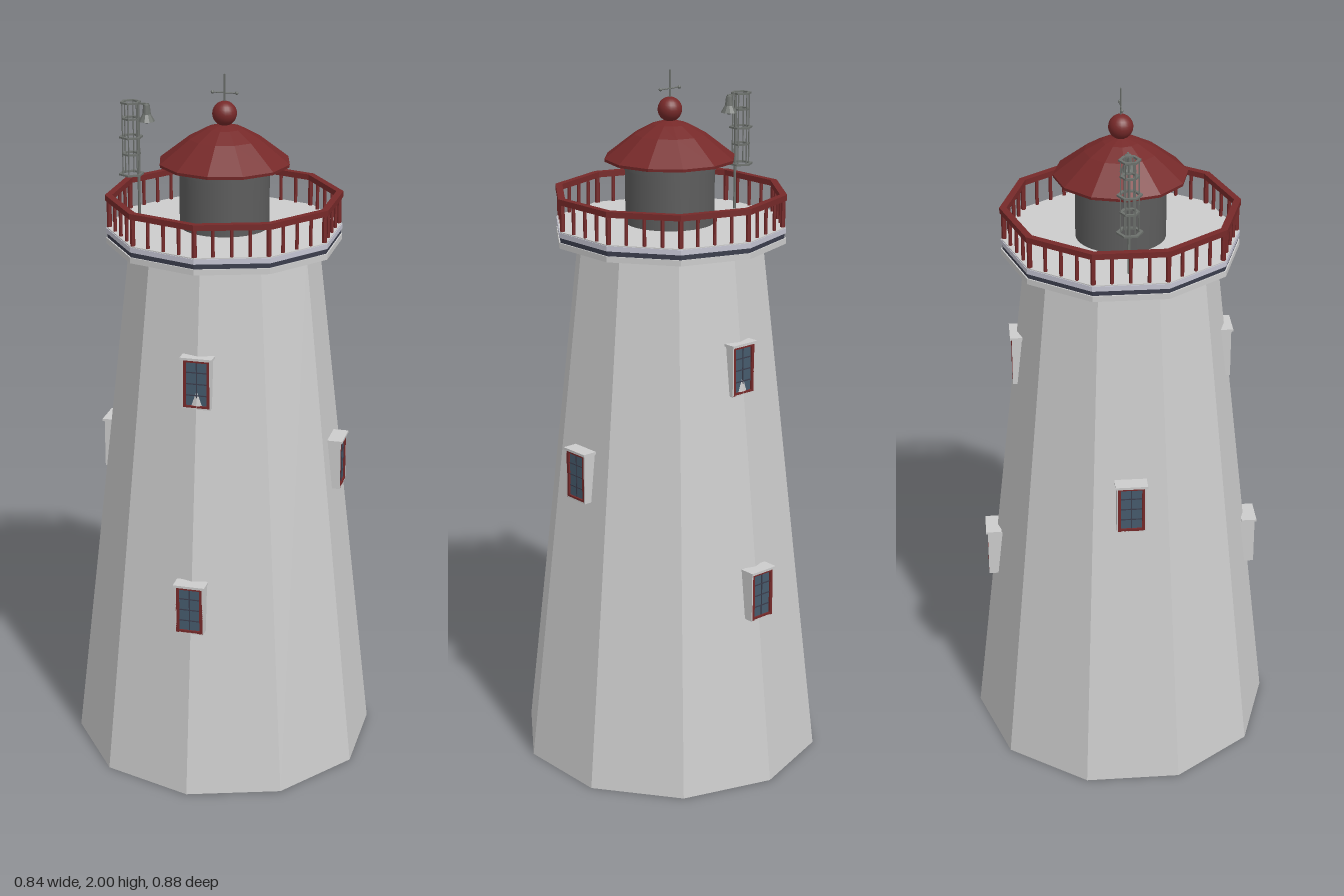
import * as THREE from 'three';

const mat = (color, flatShading = true) =>
  new THREE.MeshStandardMaterial({ color, flatShading, side: THREE.DoubleSide });
const grey = mat(0xcccccc), red = mat(0x762929), smoothRed = mat(0x762929, false);
const navy = mat(0x3a3d4c), pale = mat(0xc4c4d2), glass = mat(0x455a6c);
const lanternGrey = mat(0x5c5c5c, false), metal = mat(0x6c706c);
const SIDES = 10;

function add(parent, name, geometry, material, x = 0, y = 0, z = 0) {
  const mesh = new THREE.Mesh(geometry, material);
  mesh.name = name;
  mesh.position.set(x, y, z);
  parent.add(mesh);
  return mesh;
}

// upright cylinder or prism between two heights
function prism(parent, name, material, rTop, rBottom, y0, y1, sides, x = 0, z = 0) {
  return add(parent, name, new THREE.CylinderGeometry(rTop, rBottom, y1 - y0, sides),
    material, x, (y0 + y1) / 2, z);
}

// regular polygon corners with one corner on +z
function corners(r, n) {
  return Array.from({ length: n }, (_, i) => {
    const a = i / n * Math.PI * 2;
    return new THREE.Vector2(r * Math.sin(a), r * Math.cos(a));
  });
}

// flat polygonal ring
function ring(parent, name, material, rOut, rIn, y0, y1, n, x = 0) {
  const shape = new THREE.Shape(corners(rOut, n));
  shape.holes.push(new THREE.Path(corners(rIn, n)));
  const g = new THREE.ExtrudeGeometry(shape, { depth: y1 - y0, bevelEnabled: false });
  g.rotateX(-Math.PI / 2);
  return add(parent, name, g, material, x, y0, 0);
}

// hooded window, front face at local z = 0
function makeWindow() {
  const w = new THREE.Group();
  w.name = 'window';
  const depth = 0.045, h = 0.14;
  const box = (name, m, sx, sy, sz, x, y, z) =>
    add(w, name, new THREE.BoxGeometry(sx, sy, sz), m, x, y, z);
  box('windowHood', grey, 0.09, 0.007, depth, 0, h / 2 + 0.003, -depth / 2 + 0.002);
  box('windowSill', grey, 0.08, 0.004, depth, 0, -h / 2, -depth / 2 - 0.003);
  box('windowPane', glass, 0.07, h - 0.01, 0.004, 0, 0, -0.01);
  for (const s of [-1, 1]) {
    box('windowCheek', grey, 0.004, h, depth, s * 0.039, 0, -depth / 2 - 0.003);
    box('windowJamb', red, 0.009, h, 0.01, s * 0.034, 0, -0.008);
    box('windowRail', red, 0.06, 0.007, 0.01, 0, s * (h / 2 - 0.004), -0.008);
  }
  box('mullion', navy, 0.003, h - 0.01, 0.004, 0, 0, -0.008);
  for (const y of [-0.033, 0, 0.033]) box('glazingBar', navy, 0.06, 0.003, 0.004, 0, y, -0.008);
  return w;
}

// lattice mast with a bell beside it
function makeMast() {
  const g = new THREE.Group();
  g.name = 'bellMast';
  const cx = -0.268;
  prism(g, 'mastPole', metal, 0.004, 0.004, 1.57, 1.91, 6, -0.247);
  const levels = [[1.703, 0.036], [1.76, 0.027], [1.808, 0.034], [1.86, 0.026], [1.905, 0.03]];
  for (const [y, r] of levels) ring(g, 'mastRing', metal, r, r - 0.009, y, y + 0.005, 6, cx);
  for (const p of corners(0.024, 6))
    prism(g, 'mastUpright', metal, 0.002, 0.002, 1.703, 1.908, 5, cx + p.x, p.y);
  add(g, 'bellBracket', new THREE.BoxGeometry(0.04, 0.005, 0.005), metal, -0.235, 1.905, 0);
  const profile = [[0.002, 0.05], [0.009, 0.046], [0.012, 0.02], [0.023, 0.0]]
    .map(([x, y]) => new THREE.Vector2(x, y));
  add(g, 'bell', new THREE.LatheGeometry(profile, 10), metal, -0.222, 1.857, 0);
  add(g, 'bellClapper', new THREE.SphereGeometry(0.006, 8, 6), metal, -0.222, 1.856, 0);
  return g;
}

export function createModel() {
  const root = new THREE.Group();
  root.name = 'lighthouse';

  // tapering tower
  prism(root, 'tower', grey, 0.265, 0.44, 0, 1.535, SIDES);

  // windows: two on front and back, one on each side
  const spots = [[0, 1.213, 0.312], [0, 0.57, 0.4], [1, 0.9, 0.354],
    [2, 1.213, 0.312], [2, 0.57, 0.4], [3, 0.9, 0.354]];
  for (const [quarter, y, r] of spots) {
    const w = makeWindow();
    const a = quarter * Math.PI / 2;
    w.position.set(r * Math.sin(a), y, r * Math.cos(a));
    w.rotation.y = a;
    root.add(w);
  }

  // gallery deck in bands
  prism(root, 'deckBase', grey, 0.33, 0.33, 1.53, 1.546, SIDES);
  prism(root, 'deckBand', navy, 0.326, 0.326, 1.546, 1.56, SIDES);
  prism(root, 'deckEdge', pale, 0.33, 0.33, 1.56, 1.574, SIDES);
  prism(root, 'deckFloor', grey, 0.328, 0.328, 1.574, 1.577, SIDES);

  // railing
  ring(root, 'handrail', red, 0.331, 0.311, 1.652, 1.668, SIDES);
  const posts = corners(0.32, SIDES);
  const perSide = 4;
  posts.forEach((p, i) => {
    const q = posts[(i + 1) % SIDES];
    for (let k = 0; k < perSide; k++) {
      const c = p.clone().lerp(q, k / perSide);
      const r = k === 0 ? 0.007 : 0.005;
      prism(root, 'baluster', red, r, r, 1.575, 1.655, 6, c.x, c.y);
    }
  });

  // lantern room
  prism(root, 'lantern', lanternGrey, 0.125, 0.125, 1.575, 1.735, 32);
  prism(root, 'lanternCornice', lanternGrey, 0.131, 0.131, 1.73, 1.755, 32);

  // faceted roof with finial
  const roof = [[0, 1.75], [0.183, 1.752], [0.184, 1.76], [0.1, 1.825], [0.05, 1.852], [0, 1.866]]
    .map(([x, y]) => new THREE.Vector2(x, y));
  add(root, 'roof', new THREE.LatheGeometry(roof, 12), red);
  add(root, 'finialBall', new THREE.SphereGeometry(0.034, 20, 14), smoothRed, 0, 1.892, 0);
  prism(root, 'finialRod', metal, 0.0025, 0.0025, 1.9, 2, 6);
  const bar = prism(root, 'finialCrossbar', metal, 0.002, 0.002, 1.914, 1.984, 6);
  bar.rotation.z = Math.PI / 2;
  for (const s of [-1, 1])
    add(root, 'crossbarTip', new THREE.SphereGeometry(0.005, 8, 6), metal, s * 0.034, 1.949, 0);

  root.add(makeMast());
  return root;
}
